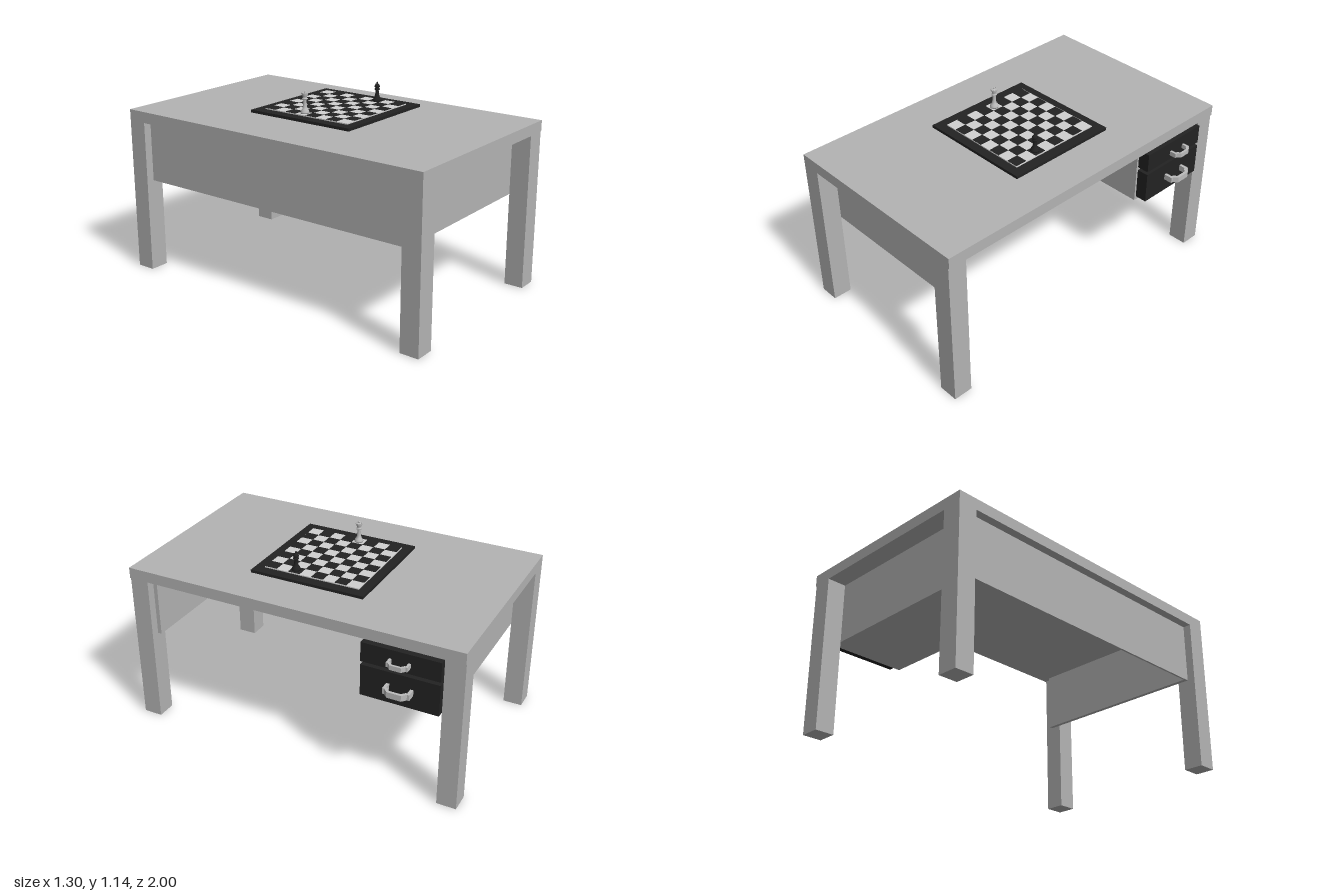
import * as THREE from 'three';

const mat = (name, color) => {
  const m = new THREE.MeshStandardMaterial({ color });
  m.name = name;
  return m;
};

export function createModel() {
  const root = new THREE.Group();
  root.name = 'deskWithGameBoard';
  const grey = mat('tableGrey', 0xb3b3b3);
  const black = mat('black', 0x222222);
  const pale = mat('paleSquares', 0xd0d0d0);
  const silver = mat('silver', 0xbcbcbc);

  const add = (name, geo, m, parent = root) => {
    const mesh = new THREE.Mesh(geo, m);
    mesh.name = name;
    parent.add(mesh);
    return mesh;
  };
  // Box given by its limits on each axis
  const box = (name, m, x0, x1, y0, y1, z0, z1, parent) => {
    const mesh = add(name, new THREE.BoxGeometry(x1 - x0, y1 - y0, z1 - z0), m, parent);
    mesh.position.set((x0 + x1) / 2, (y0 + y1) / 2, (z0 + z1) / 2);
    return mesh;
  };

  // Table top and legs
  box('tableTop', grey, -0.65, 0.557, 0.9, 0.965, -1, 1);
  for (const x of [-0.65, 0.435])
    for (const z of [-1, 0.888]) box('leg', grey, x, x + 0.115, 0, 0.9, z, z + 0.112);

  // Apron panels on three sides
  box('frontPanel', grey, -0.59, 0.5, 0.545, 0.9, 0.864, 0.888);
  box('backPanel', grey, -0.59, 0.5, 0.545, 0.9, -0.888, -0.864);
  box('sidePanel', grey, -0.602, -0.59, 0.545, 0.9, -0.888, 0.888);

  // Drawer cabinet and its drawers
  box('drawerCabinet', grey, -0.59, 0.497, 0.545, 0.9, -0.864, -0.425);
  box('lowerDrawer', black, 0.497, 0.567, 0.567, 0.75, -0.88, -0.437);
  box('upperDrawer', black, 0.497, 0.567, 0.77, 0.883, -0.88, -0.437);

  // Bow handles: outline in (x, z), extruded upwards
  const handle = (name, y, scale, x0) => {
    const half = [[0, 0.075], [0.052, 0.075], [0.052, 0.062], [0.076, 0.04]];
    const inner = [[0.06, 0.032], [0.04, 0.05], [0.04, 0.058], [0, 0.058]];
    const flip = (pts) => pts.map(([x, z]) => [x, -z]).reverse();
    const pts = [...half, ...flip(half), ...flip(inner).slice(0), ...inner];
    const shape = new THREE.Shape(pts.map(([x, z]) => new THREE.Vector2(x * scale, z * scale)));
    const h = 0.034 * scale;
    const geo = new THREE.ExtrudeGeometry(shape, { depth: h, bevelEnabled: false });
    geo.rotateX(-Math.PI / 2).translate(0, -h / 2, 0);
    add(name, geo, silver).position.set(x0, y, -0.663);
  };
  handle('lowerHandle', 0.668, 1, 0.572);
  handle('upperHandle', 0.829, 0.79, 0.582);

  // Game board with a pale field and inlaid dark squares
  const board = new THREE.Group();
  board.name = 'gameBoard';
  root.add(board);
  box('boardFrame', black, -0.35, 0.332, 0.987, 1.003, -0.335, 0.345, board);
  box('boardField', pale, -0.29, 0.272, 1.003, 1.009, -0.282, 0.29, board);
  const px = 0.0695, pz = 0.0708;
  for (let i = 0; i < 8; i++)
    for (let j = 0; j < 8; j++) {
      if ((i + j) % 2) continue;
      const x = -0.288 + i * px, z = -0.278 + j * pz;
      box('darkSquare', black, x, x + px, 1.0085, 1.0105, z, z + pz, board);
    }

  // Turned playing pieces, profiles as [radius, height]
  const lathe = (name, pts, m, parent) =>
    add(name, new THREE.LatheGeometry(pts.map(([r, y]) => new THREE.Vector2(r, y)), 24), m, parent);
  const foot = [[0, 0], [0.025, 0], [0.025, 0.008], [0.021, 0.012], [0.022, 0.017], [0.015, 0.024], [0.011, 0.04]];

  const queen = new THREE.Group();
  queen.name = 'palePiece';
  queen.position.set(-0.25, 1.0095, -0.028);
  root.add(queen);
  lathe('queenBody', [...foot, [0.009, 0.075], [0.016, 0.079], [0.016, 0.083], [0.011, 0.087],
    [0.012, 0.094], [0.02, 0.113], [0.014, 0.114], [0.008, 0.117], [0, 0.118]], silver, queen);
  for (let k = 0; k < 8; k++) {
    const a = (k / 8) * Math.PI * 2;
    add('crownPoint', new THREE.SphereGeometry(0.004, 8, 6), silver, queen)
      .position.set(Math.cos(a) * 0.0165, 0.114, Math.sin(a) * 0.0165);
  }
  add('crownBall', new THREE.SphereGeometry(0.006, 12, 8), silver, queen).position.y = 0.121;

  const bishop = new THREE.Group();
  bishop.name = 'darkPiece';
  bishop.position.set(0.23, 1.0095, 0.117);
  root.add(bishop);
  lathe('bishopBody', [...foot, [0.009, 0.063], [0.016, 0.067], [0.016, 0.071], [0.01, 0.075],
    [0.015, 0.082], [0.015, 0.089], [0.01, 0.098], [0.004, 0.104], [0, 0.105]], black, bishop);
  add('bishopBall', new THREE.SphereGeometry(0.005, 12, 8), black, bishop).position.y = 0.107;

  return root;
}
